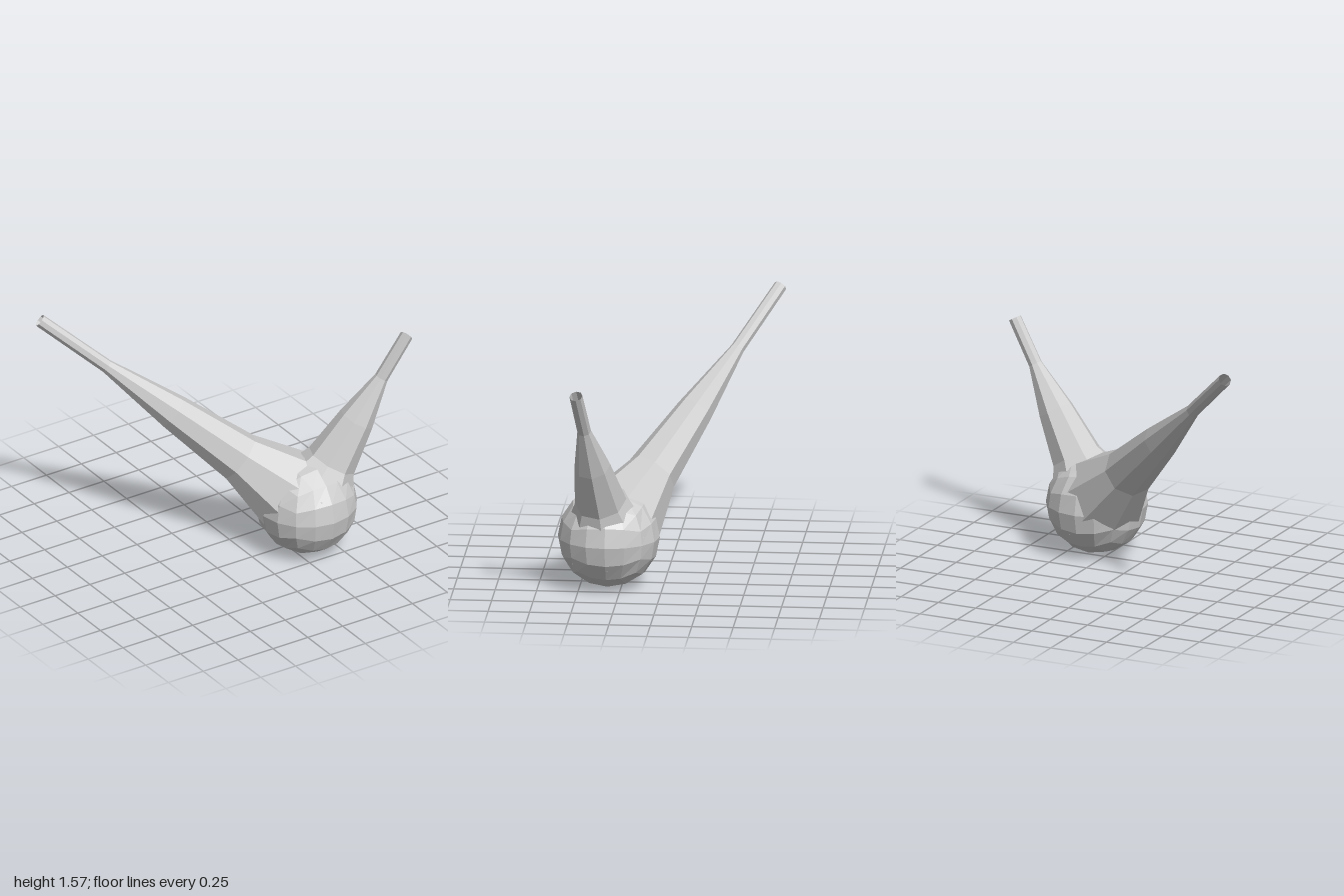
import * as THREE from 'three';

const CENTRE = new THREE.Vector3(0.34, 0.308, 0.327);
const SIDES = 8;
const RADII = [0.302, 0.157, 0.11, 0.042, 0.04]; // evenly spaced along a branch

function material() {
  return new THREE.MeshStandardMaterial({ color: 0xcccccc, flatShading: true, side: THREE.DoubleSide });
}

// Open eight-sided tube that flares into the ball at its base
function branch(name, tip) {
  const axis = tip.clone().sub(CENTRE);
  const length = axis.length();
  const profile = RADII.map((r, i) => new THREE.Vector2(r, (length * i) / (RADII.length - 1)));
  const mesh = new THREE.Mesh(new THREE.LatheGeometry(profile, SIDES), material());
  mesh.name = name;
  mesh.position.copy(CENTRE);
  mesh.quaternion.setFromUnitVectors(new THREE.Vector3(0, 1, 0), axis.normalize());
  return mesh;
}

// Ball made from a subdivided cube pushed out to a sphere
function ball(radius) {
  const geometry = new THREE.BoxGeometry(1, 1, 1, 4, 4, 4);
  const p = geometry.attributes.position;
  const v = new THREE.Vector3();
  for (let i = 0; i < p.count; i++) {
    v.fromBufferAttribute(p, i);
    // tangent spacing keeps the facets even
    v.set(...v.toArray().map((c) => Math.tan((c * Math.PI) / 2))).setLength(radius);
    p.setXYZ(i, v.x, v.y, v.z);
  }
  geometry.computeVertexNormals();
  const mesh = new THREE.Mesh(geometry, material());
  mesh.name = 'jointBall';
  mesh.position.copy(CENTRE);
  return mesh;
}

export function createModel() {
  const group = new THREE.Group();
  group.name = 'branchJoint';
  group.add(
    ball(0.308),
    branch('longBranch', new THREE.Vector3(-0.972, 1.535, -0.597)),
    branch('shortBranch', new THREE.Vector3(0.962, 1.34, 0.473)),
  );
  return group;
}
